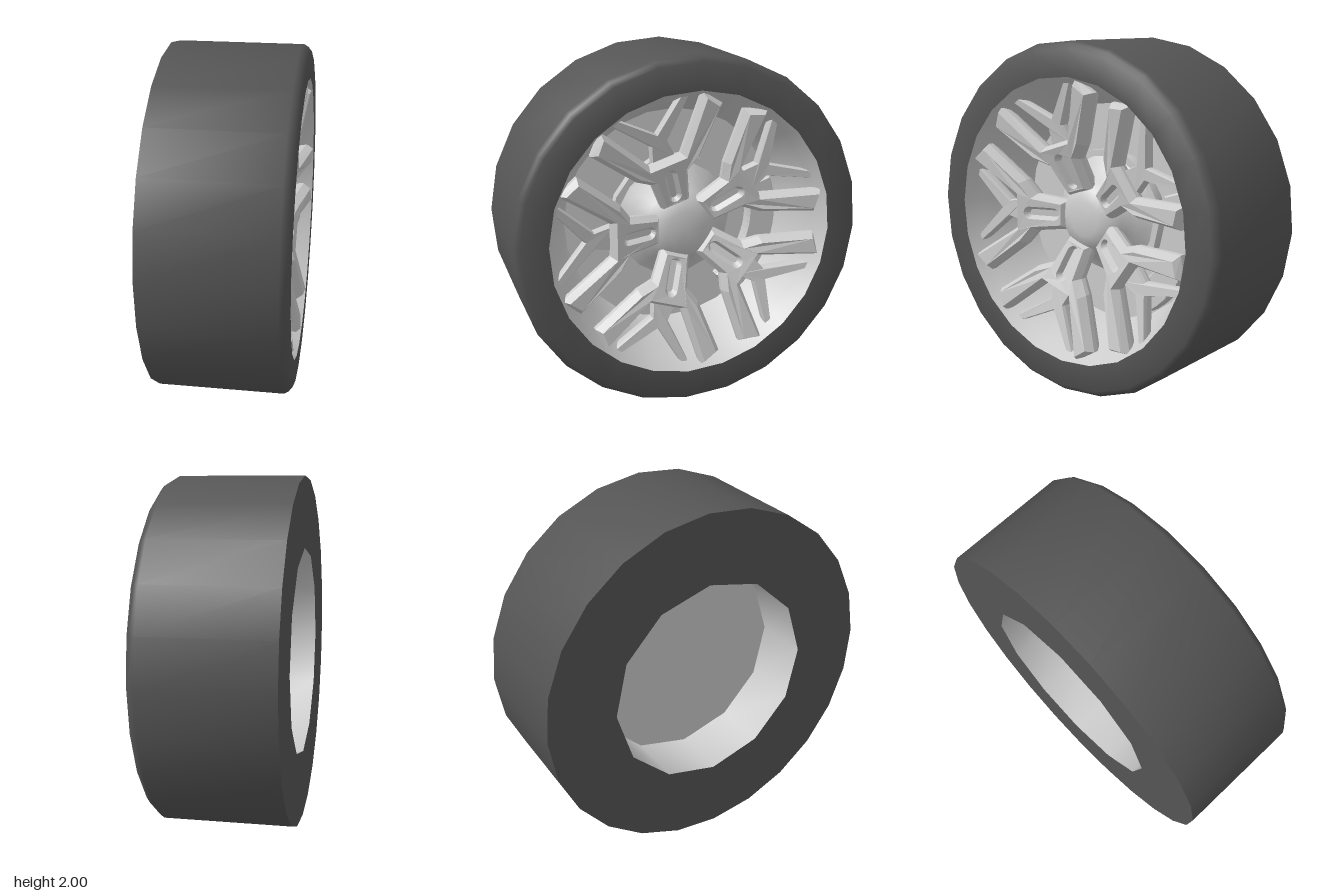
import * as THREE from 'three';
import { toCreasedNormals } from 'three/addons/utils/BufferGeometryUtils.js';

const metal = new THREE.MeshStandardMaterial({ color: 0xcccccc });
const rubber = new THREE.MeshStandardMaterial({ color: 0x555555 });
const PHASE = -0.04;

function part(name, geometry, material) {
  const m = new THREE.Mesh(geometry, material);
  m.name = name;
  return m;
}

// Surface of revolution about the x axle; profile is [radius, x]
function turned(name, profile, sides, material) {
  const g = new THREE.LatheGeometry(profile.map(([r, x]) => new THREE.Vector2(r, x)), sides);
  g.rotateZ(-Math.PI / 2);
  g.rotateX(PHASE);
  return part(name, toCreasedNormals(g, 0.9), material);
}

// Corners of a regular polygon
function polygon(radius, sides) {
  return Array.from({ length: sides }, (_, i) => {
    const a = (i * Math.PI * 2) / sides;
    return new THREE.Vector2(radius * Math.cos(a), radius * Math.sin(a));
  });
}

// Closed outline from its upper half, mirrored across the spoke's centre line
function mirroredShape(half) {
  const pts = half.map(([u, v]) => new THREE.Vector2(u, v));
  const other = half.filter(([, v]) => v !== 0).reverse().map(([u, v]) => new THREE.Vector2(u, -v));
  return new THREE.Shape([...pts, ...other]);
}

// Height of the concave spoke face at a given radius
function faceHeight(r) {
  const [a, b] = r < 0.42 ? [[0.15, 0.21], [0.42, 0.31]] : [[0.42, 0.31], [0.8, 0.38]];
  return THREE.MathUtils.mapLinear(Math.min(r, 0.8), a[0], b[0], a[1], b[1]);
}

// Bevelled plate that follows the dished face; u runs along +z, thickness along x
function dishedPlate(name, shape, thickness, bevelSize, bevelThickness, drop) {
  const g = new THREE.ExtrudeGeometry(shape, {
    depth: thickness - 2 * bevelThickness, bevelEnabled: true, bevelSegments: 1,
    bevelSize, bevelThickness, bevelOffset: -bevelSize, curveSegments: 4,
  });
  g.translate(0, 0, bevelThickness - thickness - drop);
  const p = g.attributes.position;
  for (let i = 0; i < p.count; i++) {
    p.setZ(i, p.getZ(i) + faceHeight(Math.hypot(p.getX(i), p.getY(i))));
  }
  g.applyMatrix4(new THREE.Matrix4().makeBasis(
    new THREE.Vector3(0, 0, 1), new THREE.Vector3(0, -1, 0), new THREE.Vector3(1, 0, 0)));
  g.computeVertexNormals();
  return part(name, g, metal);
}

function createSpoke() {
  const spoke = new THREE.Group();
  spoke.name = 'spoke';
  // Main Y-shaped arm with a tapered groove in its stem
  const main = mirroredShape([[0.14, 0.085], [0.33, 0.11], [0.39, 0.19], [0.64, 0.385], [0.745, 0.295], [0.45, 0.095]]);
  const groove = new THREE.Path();
  groove.absarc(0.35, 0, 0.01, -Math.PI / 2, Math.PI / 2, false);
  groove.absarc(0.215, 0, 0.01, Math.PI / 2, Math.PI * 1.5, false);
  main.holes.push(groove);
  spoke.add(dishedPlate('spokeArms', main, 0.13, 0.027, 0.05, 0));
  // Floor closing the groove
  const floor = mirroredShape([[0.19, 0.03], [0.375, 0.03]]);
  spoke.add(dishedPlate('grooveFloor', floor, 0.05, 0.004, 0.004, 0.035));
  // Thin inner fork set back from the main arm
  const fork = mirroredShape([[0.42, 0.075], [0.54, 0.05], [0.75, 0.235], [0.78, 0.205], [0.595, 0]]);
  spoke.add(dishedPlate('innerFork', fork, 0.07, 0.006, 0.02, 0.07));
  return spoke;
}

export function createModel() {
  const wheel = new THREE.Group();
  wheel.name = 'wheel';

  wheel.add(turned('tyre', [[1, -0.385], [1, 0.33], [0.985, 0.355], [0.96, 0.375], [0.81, 0.375]], 24, rubber));

  // Flat back wall with a twelve-sided opening
  const wall = new THREE.Shape(polygon(1, 24));
  wall.holes.push(new THREE.Path(polygon(0.6, 12)));
  const wallGeometry = new THREE.ShapeGeometry(wall);
  wallGeometry.rotateY(-Math.PI / 2);
  wallGeometry.rotateX(PHASE);
  wallGeometry.translate(-0.385, 0, 0);
  wheel.add(part('tyreBackWall', wallGeometry, rubber));

  wheel.add(turned('rim', [[0.81, 0.375], [0.765, 0.28], [0.69, 0.11], [0.64, -0.05]], 24, metal));
  wheel.add(turned('brakeDisc', [[0.65, -0.05], [0, -0.05]], 24, metal));
  wheel.add(turned('backBarrel', [[0, -0.06], [0.6, -0.06], [0.6, -0.385]], 12, metal));
  wheel.add(turned('discHat', [[0.38, -0.05], [0.38, 0.01], [0, 0.01]], 16, metal));
  wheel.add(turned('hub', [[0.34, 0.01], [0.27, 0.06], [0.21, 0.13], [0.17, 0.19], [0.1, 0.21], [0, 0.22]], 20, metal));

  // Brake caliper hugging the disc on the -z side
  const arc = new THREE.Shape();
  arc.absarc(0, 0, 0.62, -0.95, 0.33, false);
  arc.absarc(0, 0, 0.47, 0.33, -0.95, true);
  const caliperGeometry = new THREE.ExtrudeGeometry(arc, {
    depth: 0.06, bevelEnabled: true, bevelSegments: 1, bevelSize: 0.01, bevelThickness: 0.015, curveSegments: 8,
  });
  caliperGeometry.rotateY(Math.PI / 2);
  caliperGeometry.translate(-0.03, 0, 0);
  wheel.add(part('brakeCaliper', caliperGeometry, metal));

  // Five spokes, the first pointing to +z
  for (let i = 0; i < 5; i++) {
    const spoke = createSpoke();
    spoke.rotation.x = (i * Math.PI * 2) / 5;
    wheel.add(spoke);
  }

  wheel.position.y = 1;
  const model = new THREE.Group();
  model.add(wheel);
  return model;
}
